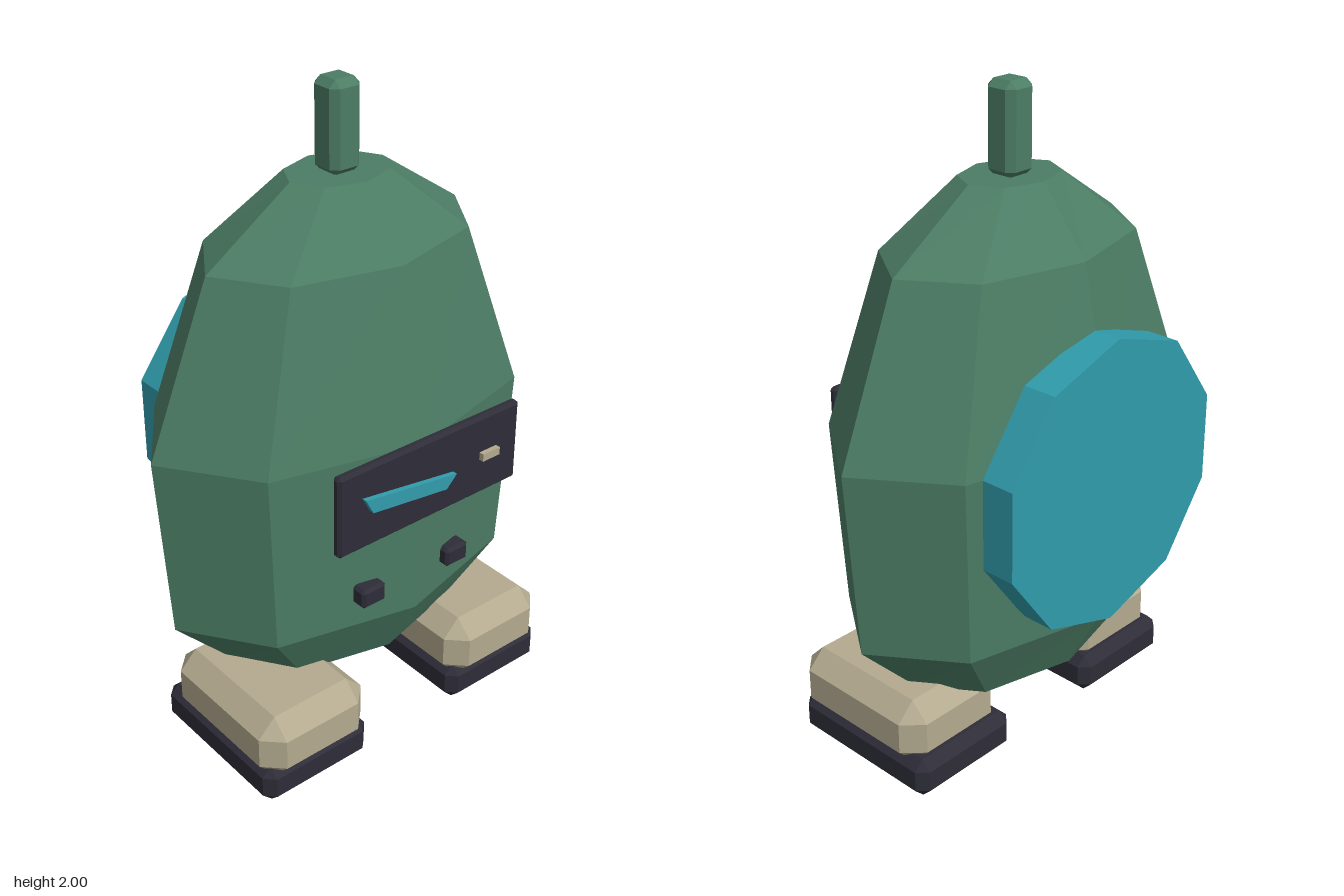
import * as THREE from 'three';
import { ConvexGeometry } from 'three/addons/geometries/ConvexGeometry.js';

const mat = (name, color) => Object.assign(new THREE.MeshStandardMaterial({ color, flatShading: true }), { name });

// Box with bevelled edges and corners, given by its bounds
function bevelBox([x0, x1], [y0, y1], [z0, z1], b) {
  const half = [(x1 - x0) / 2, (y1 - y0) / 2, (z1 - z0) / 2];
  const points = [];
  for (const sx of [-1, 1]) for (const sy of [-1, 1]) for (const sz of [-1, 1]) {
    const s = [sx, sy, sz];
    for (let axis = 0; axis < 3; axis++) {
      points.push(new THREE.Vector3(...half.map((h, i) => s[i] * (i === axis ? h : h - b))));
    }
  }
  return new ConvexGeometry(points).translate((x0 + x1) / 2, (y0 + y1) / 2, (z0 + z1) / 2);
}

export function createModel() {
  const green = mat('body green', 0x4c7d65);
  const dark = mat('dark trim', 0x2e2d38);
  const cream = mat('boot cream', 0xb3aa8f);
  const teal = mat('glow teal', 0x319cac);

  const model = new THREE.Group();
  const add = (name, geometry, material, parent = model) => {
    const mesh = new THREE.Mesh(geometry, material);
    mesh.name = name;
    parent.add(mesh);
    return mesh;
  };

  // Faceted egg body: eight-sided rings of [y, half width, half depth]
  const rings = [
    [0.26, 0.41, 0.25], [0.47, 0.61, 0.362], [1.05, 0.65, 0.385],
    [1.55, 0.445, 0.278], [1.74, 0.163, 0.127],
  ];
  const body = new THREE.CylinderGeometry(1, 1, 4, 8, 4);
  const p = body.attributes.position;
  for (let i = 0; i < p.count; i++) {
    const [y, rx, rz] = rings[Math.round(p.getY(i) + 2)];
    p.setXYZ(i, p.getX(i) * rx, y, p.getZ(i) * rz - 0.018);
  }
  const flatBody = body.toNonIndexed();
  flatBody.computeVertexNormals();
  add('body', flatBody, green);

  // Antenna stub
  add('antenna', bevelBox([-0.052, 0.052], [1.735, 2], [-0.07, 0.034], 0.021), green);

  // Face panel with slanted eye and small light
  add('facePanel', bevelBox([-0.335, 0.335], [0.82, 1.08], [0.367, 0.399], 0.01), dark);
  const eyeShape = new THREE.Shape([[-0.257, 0.992], [-0.23, 0.942], [0.04, 0.907], [0.077, 0.944]]
    .map(([x, y]) => new THREE.Vector2(x, y)));
  add('eye', new THREE.ExtrudeGeometry(eyeShape, { depth: 0.016, bevelEnabled: false }).translate(0, 0, 0.402), teal);
  add('faceLight', new THREE.BoxGeometry(0.065, 0.024, 0.016).translate(0.211, 0.955, 0.41), cream);

  // Round ten-sided back pack
  add('backDisc', new THREE.CylinderGeometry(0.441, 0.441, 0.106, 10).rotateX(Math.PI / 2)
    .translate(0, 0.923, -0.368), teal);

  // Chest buttons and boots on both sides
  for (const [side, s] of [['left', 1], ['right', -1]]) {
    const span = (a, b) => (s > 0 ? [a, b] : [-b, -a]);
    add(side + 'Button', bevelBox(span(0.118, 0.205), [0.558, 0.622], [0.295, 0.351], 0.01), dark);
    const boot = new THREE.Group();
    boot.name = side + 'Boot';
    model.add(boot);
    add(side + 'BootUpper', bevelBox(span(0.17, 0.552), [0.075, 0.29], [-0.155, 0.357], 0.058), cream, boot);
    add(side + 'BootSole', bevelBox(span(0.168, 0.553), [0, 0.128], [-0.193, 0.344], 0.031), dark, boot);
  }
  return model;
}
